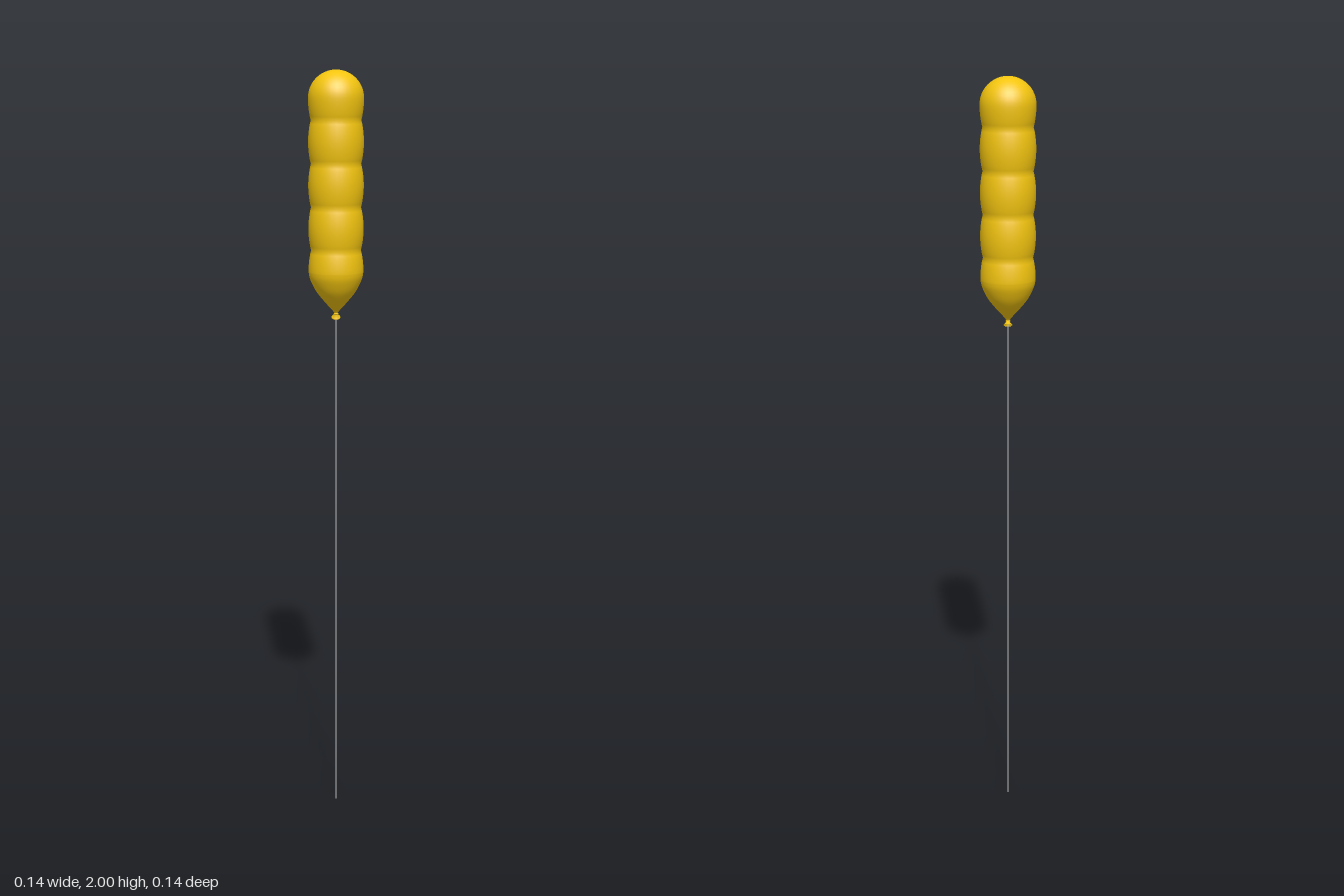
import * as THREE from 'three';

const SIDES = 32;

function lathe(name, points, material) {
  const mesh = new THREE.Mesh(new THREE.LatheGeometry(points, SIDES), material);
  mesh.name = name;
  return mesh;
}

// Outline from the neck up: taper, five rounded bulges, domed top
function bodyProfile() {
  const R = 0.072, low = 1.485, pitch = 0.111, bulges = 5;
  const top = low + pitch * (bulges - 1);
  const taper = new THREE.SplineCurve([
    [0.004, 1.374], [0.01, 1.383], [0.03, 1.405], [0.053, 1.434], [0.068, 1.465], [R, low],
  ].map(([r, y]) => new THREE.Vector2(r, y)));
  const points = taper.getPoints(20);
  const steps = 12 * (bulges - 1);
  for (let i = 1; i <= steps; i++) {
    const wave = Math.abs(Math.cos(Math.PI * i / 12));
    points.push(new THREE.Vector2(0.065 + (R - 0.065) * Math.pow(wave, 0.8), low + pitch * i / 12));
  }
  for (let i = 1; i <= 12; i++) {
    const a = Math.PI / 2 * i / 12;
    points.push(new THREE.Vector2(i === 12 ? 0 : R * Math.cos(a), top + (2 - top) * Math.sin(a)));
  }
  return points;
}

export function createModel() {
  const group = new THREE.Group();
  const yellow = new THREE.MeshStandardMaterial({ color: 0xf2c40f, side: THREE.DoubleSide });
  const grey = new THREE.MeshStandardMaterial({ color: 0xcccccc });

  group.add(lathe('balloonBody', bodyProfile(), yellow));

  // Small tied ring where the neck closes
  const knot = new THREE.Mesh(new THREE.TorusGeometry(0.004, 0.0025, 8, 20), yellow);
  knot.name = 'knot';
  knot.rotation.x = Math.PI / 2;
  knot.position.y = 1.373;
  group.add(knot);

  // Flared rubber lip, tipped to the back
  const lip = lathe('lip', [
    [0.010, -0.0125], [0.012, -0.0115], [0.011, -0.0095], [0.007, -0.006], [0.004, 0],
  ].map(([r, y]) => new THREE.Vector2(r, y)), yellow);
  lip.position.set(0, 1.373, -0.001);
  lip.rotation.x = 0.5;
  group.add(lip);

  // Thin string hanging to the ground
  const string = new THREE.Mesh(new THREE.CylinderGeometry(0.0015, 0.0015, 1.372, 8), grey);
  string.name = 'string';
  string.position.y = 0.686;
  group.add(string);

  return group;
}
